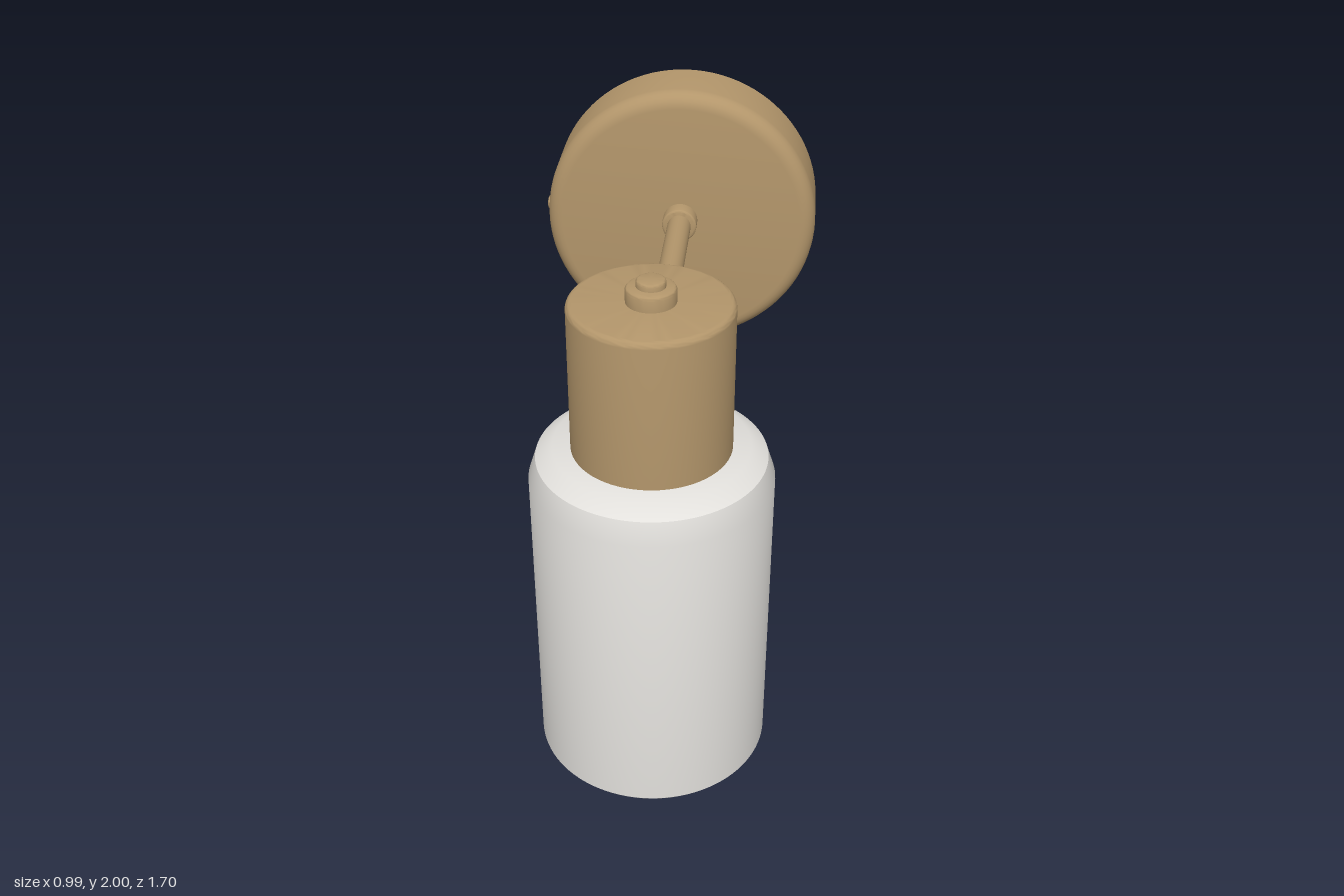
import * as THREE from 'three';
import { toCreasedNormals } from 'three/addons/utils/BufferGeometryUtils.js';

const AXIS = 0.007; // x of the lamp's centre line

export function createModel() {
  const brass = new THREE.MeshStandardMaterial({ color: 0xb3966b });
  brass.name = 'brass';
  const glass = new THREE.MeshStandardMaterial({ color: 0xe2e0dc });
  glass.name = 'white glass';

  const lamp = new THREE.Group();
  lamp.name = 'wallLamp';

  const add = (name, geometry, material, x, y, z, parent = lamp) => {
    const mesh = new THREE.Mesh(geometry, material);
    mesh.name = name;
    mesh.position.set(x, y, z);
    parent.add(mesh);
    return mesh;
  };

  // Turned shape from [radius, height] pairs, listed bottom to top on the outside
  const turned = (profile, segments = 64, crease = 0.6) =>
    toCreasedNormals(
      new THREE.LatheGeometry(profile.map(([r, y]) => new THREE.Vector2(r, y)), segments), crease);

  // Solid disc with a rounded upper rim
  const roundedDisc = (radius, height, bevel, segments = 64) => {
    const profile = [[0, 0], [radius, 0]];
    for (let i = 0; i <= 6; i++) {
      const a = (i / 6) * Math.PI / 2;
      profile.push([radius - bevel + bevel * Math.cos(a), height - bevel + bevel * Math.sin(a)]);
    }
    profile.push([0, height]);
    return turned(profile, segments);
  };

  // Wall plate, facing forward
  add('wallPlate', roundedDisc(0.486, 0.25, 0.055, 96).rotateX(Math.PI / 2), brass, AXIS, 1.515, -0.85);

  // Arm with its collar at the plate
  add('armCollar', roundedDisc(0.062, 0.065, 0.008, 32).rotateX(Math.PI / 2), brass, AXIS, 1.53, -0.61);
  add('arm', new THREE.CylinderGeometry(0.042, 0.042, 0.85, 32).rotateX(Math.PI / 2), brass, AXIS, 1.53, -0.18);

  // Holder cup with stacked finial
  add('holderCup', roundedDisc(0.253, 0.505, 0.02), brass, AXIS, 1.265, 0.463);
  add('finialBase', roundedDisc(0.077, 0.055, 0.012, 32), brass, AXIS, 1.765, 0.463);
  add('finialTip', roundedDisc(0.045, 0.03, 0.008, 32), brass, AXIS, 1.812, 0.463);

  // Hollow shade, open at the bottom
  add('shade', turned([
    [0.358, 0.1], [0.38, 0.095], [0.388, 0.105], [0.388, 1.16], [0.364, 1.235], [0.31, 1.27], [0.1, 1.27],
    [0.1, 1.24], [0.3, 1.24], [0.34, 1.215], [0.358, 1.15], [0.358, 0.1],
  ], 96), glass, AXIS, 0, 0.463);

  // Socket and candle bulb inside the shade
  add('socket', new THREE.CylinderGeometry(0.11, 0.11, 0.52, 32), brass, AXIS, 1.01, 0.463);
  add('bulb', turned([
    [0, 0.005], [0.015, 0.012], [0.058, 0.045], [0.085, 0.1], [0.13, 0.2], [0.16, 0.32],
    [0.17, 0.44], [0.155, 0.57], [0.12, 0.69], [0.09, 0.78], [0, 0.78],
  ], 48, 1.2), glass, AXIS, 0, 0.463);

  // Toggle switch under the plate
  const toggle = new THREE.Group();
  toggle.name = 'toggleSwitch';
  toggle.position.set(AXIS, 1.03, -0.725);
  lamp.add(toggle);
  add('switchNut', new THREE.CylinderGeometry(0.048, 0.048, 0.022, 6), brass, 0, -0.012, 0, toggle);
  add('switchBush', new THREE.CylinderGeometry(0.03, 0.03, 0.03, 24), brass, 0, -0.028, 0, toggle);
  const lever = add('switchLever', turned([
    [0, -0.16], [0.016, -0.158], [0.021, -0.15], [0.019, -0.128], [0.012, -0.1], [0.013, 0], [0, 0],
  ], 20), brass, 0, 0, 0, toggle);
  lever.rotation.x = 0.19;

  // Fixing screw on the side of the plate
  const screw = new THREE.Group();
  screw.name = 'fixingScrew';
  screw.position.set(-0.475, 1.515, -0.74);
  screw.rotation.z = Math.PI / 2;
  lamp.add(screw);
  add('screwHead', roundedDisc(0.027, 0.021, 0.012, 24), brass, 0, 0, 0, screw);

  return lamp;
}
